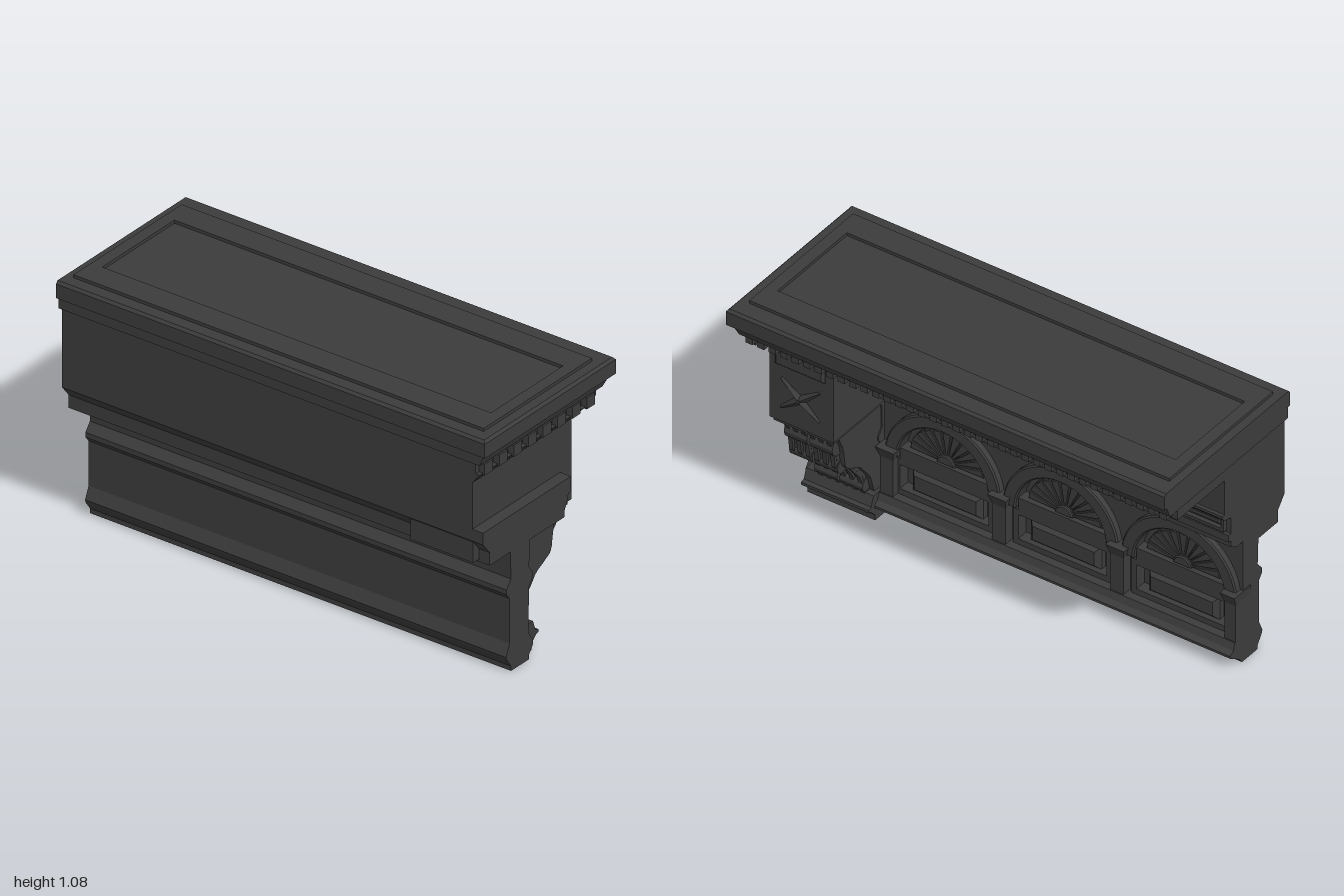
import * as THREE from 'three';

const stone = new THREE.MeshStandardMaterial({ color: 0x3c3c3c, flatShading: true });

export function createModel() {
  const model = new THREE.Group();

  const add = (name, geo) => {
    const m = new THREE.Mesh(geo, stone);
    m.name = name;
    model.add(m);
    return m;
  };
  // box from its min and max limits
  const box = (name, x0, x1, y0, y1, z0, z1) =>
    add(name, new THREE.BoxGeometry(x1 - x0, y1 - y0, z1 - z0)
      .translate((x0 + x1) / 2, (y0 + y1) / 2, (z0 + z1) / 2));
  // box whose top has a different size: limits are [x0, x1, z0, z1]
  const frustum = (name, lo, hi, y0, y1) => {
    const g = new THREE.BoxGeometry(1, 1, 1), p = g.attributes.position;
    for (let i = 0; i < p.count; i++) {
      const top = p.getY(i) > 0, r = top ? hi : lo;
      p.setXYZ(i, p.getX(i) < 0 ? r[0] : r[1], top ? y1 : y0, p.getZ(i) < 0 ? r[2] : r[3]);
    }
    return add(name, g);
  };
  const toShape = pts => new THREE.Shape(pts.map(p => new THREE.Vector2(p[0], p[1])));
  // xy profile run along z
  const run = (name, pts, z0, z1) =>
    add(name, new THREE.ExtrudeGeometry(toShape(pts), { depth: z1 - z0, bevelEnabled: false })
      .translate(0, 0, z0));
  // relief drawn in (-z, y), raised from x0 to x1 toward +x
  const relief = (name, shape, x0, x1, bevel = 0) =>
    add(name, new THREE.ExtrudeGeometry(shape, {
      depth: x1 - x0 - bevel, bevelEnabled: bevel > 0, bevelSize: bevel, bevelOffset: -bevel,
      bevelThickness: bevel, bevelSegments: 1, curveSegments: 20,
    }).rotateY(Math.PI / 2).translate(x0, 0, 0));
  const rect = (a, b, c, d) => toShape([[a, c], [b, c], [b, d], [a, d]]);
  const frame = (z0, z1, y0, y1, t) => {
    const s = rect(-z1, -z0, y0, y1);
    s.holes.push(rect(-z1 + t, -z0 - t, y0 + t, y1 - t));
    return s;
  };

  // Shelf top with raised border and sunken centre
  box('shelfSlab', -0.4, 0.4, 1.0, 1.06, -0.985, 1);
  frustum('shelfEdge', [-0.4, 0.4, -0.985, 1], [-0.39, 0.39, -0.985, 0.99], 1.06, 1.071);
  frustum('shelfUnderMoulding', [-0.385, 0.365, -0.985, 0.965], [-0.385, 0.385, -0.985, 0.985], 0.95, 1.0);
  const border = rect(-0.34, 0.32, -0.95, 0.95);
  border.holes.push(rect(-0.23, 0.21, -0.9, 0.9));
  add('topBorder', new THREE.ExtrudeGeometry(border, { depth: 0.014, bevelEnabled: false })
    .rotateX(-Math.PI / 2).translate(0, 1.07, 0));
  box('soffit', -0.37, 0.31, 0.9, 0.95, -0.98, 0.935);

  // Dentils along the long face and around the end
  for (let i = 0; i < 37; i++) {
    const z = 0.93 - i * 0.052;
    box('sideDentil', 0.3, 0.35, 0.912, 0.95, z - 0.016, z + 0.016);
  }
  for (let i = 0; i < 8; i++) {
    const x = -0.325 + i * 0.089;
    box('endDentil', x - 0.025, x + 0.025, 0.892, 0.94, 0.92, 0.962);
  }
  frustum('pierCap', [-0.37, 0.235, 0.63, 0.92], [-0.37, 0.28, 0.615, 0.955], 0.857, 0.9);

  // Main body, its back profile running the full length
  run('frieze', [[-0.37, 0.92], [-0.37, 0.61], [-0.33, 0.56], [-0.33, 0.505], [-0.12, 0.505], [-0.12, 0.55],
    [-0.03, 0.58], [-0.03, 0.72], [0.01, 0.74], [0.01, 0.92]], -0.98, 0.9);
  run('endShelf', [[-0.37, 0.66], [-0.37, 0.61], [-0.33, 0.56], [-0.33, 0.505], [0.125, 0.505], [0.125, 0.53],
    [0.145, 0.57], [0.15, 0.595], [0.165, 0.6], [0.165, 0.66]], 0.9, 0.97);

  // Thin wall with bulging foot, and the deeper pilaster at its end
  const wallBack = [[-0.205, 0.52], [-0.2, 0.39], [-0.228, 0.355], [-0.228, 0.335], [-0.208, 0.31],
    [-0.208, 0.12], [-0.23, 0.07], [-0.225, 0.055], [-0.2, 0.02], [-0.2, 0]];
  run('wall', [...wallBack, [-0.1, 0], [-0.085, 0.02], [-0.05, 0.045], [-0.025, 0.06], [-0.025, 0.07],
    [-0.045, 0.085], [-0.055, 0.115], [-0.14, 0.115], [-0.14, 0.52]], -0.98, 0.64);
  run('endPilaster', [...wallBack, [-0.09, 0], [-0.09, 0.02], [-0.065, 0.055], [-0.065, 0.07], [-0.095, 0.115],
    [-0.09, 0.31], [-0.065, 0.34], [-0.065, 0.355], [-0.09, 0.39], [-0.085, 0.52]], 0.64, 0.97);
  run('consoleFoot', [[-0.12, 0], [-0.03, 0], [-0.03, 0.025], [0, 0.055], [0.012, 0.058], [0.012, 0.07],
    [-0.005, 0.075], [-0.02, 0.118], [-0.12, 0.118]], 0.63, 0.935);

  // Frieze mouldings and long panels
  run('upperLedge', [[-0.03, 0.705], [0.01, 0.715], [0.025, 0.73], [0.025, 0.742], [-0.03, 0.742]], -0.98, 0.64);
  run('middleLedge', [[-0.04, 0.6], [-0.015, 0.6], [-0.015, 0.632], [-0.04, 0.632]], -0.98, 0.64);
  run('lowerLedge', [[-0.12, 0.55], [-0.07, 0.55], [-0.03, 0.57], [-0.03, 0.585], [-0.12, 0.585]], -0.98, 0.64);
  for (const [a, b] of [[-0.12, 0.59], [-0.96, -0.23]]) {
    relief('friezePanelFrame', frame(a, b, 0.64, 0.706, 0.013), -0.04, -0.012);
    relief('friezePanel', rect(-b + 0.025, -a - 0.025, 0.66, 0.687), -0.04, -0.02, 0.006);
  }
  // Brackets under the soffit
  for (const z of [0.235, -0.175, -0.585]) {
    run('bracket', [[0, 0.75], [0.05, 0.75], [0.07, 0.765], [0.075, 0.8], [0.1, 0.835], [0.15, 0.85],
      [0.175, 0.87], [0.175, 0.9], [0, 0.9]], z - 0.035, z + 0.035);
    box('bracketCap', 0, 0.19, 0.885, 0.905, z - 0.05, z + 0.05);
  }

  // Arcade: three fan arches above recessed panels
  const arches = [0.36, -0.175, -0.71];
  const arcShape = z => {
    const s = new THREE.Path();
    s.absarc(-z, 0.285, 0.21, 0, Math.PI, false);
    s.lineTo(-z - 0.21, 0.115);
    s.lineTo(-z + 0.21, 0.115);
    return s;
  };
  const spandrel = rect(-0.64, 0.98, 0.11, 0.56);
  for (const z of arches) spandrel.holes.push(arcShape(z));
  relief('spandrel', spandrel, -0.15, -0.105);
  for (const z of arches) {
    const ring = new THREE.Shape();
    ring.absarc(-z, 0.285, 0.262, 0, Math.PI, false);
    ring.absarc(-z, 0.285, 0.205, Math.PI, 0, true);
    relief('archRing', ring, -0.14, -0.075, 0.006);
    // fan of widening wedges around a hub
    const n = 11;
    for (let i = 0; i < n; i++) {
      const a = (i + 0.5) * Math.PI / n, h = Math.PI / n * 0.43;
      const pt = (r, t) => [-z + r * Math.cos(t), 0.33 + 0.84 * r * Math.sin(t)];
      relief('fanRib', toShape([pt(0.035, a - h), pt(0.166, a - h), pt(0.166, a + h), pt(0.035, a + h)]),
        -0.15, -0.105, 0.003);
    }
    const hub = new THREE.Shape();
    hub.absarc(-z, 0.33, 0.04, 0, Math.PI, false);
    relief('fanHub', hub, -0.15, -0.095, 0.005);
    box('fanSill', -0.15, -0.09, 0.268, 0.328, z - 0.2, z + 0.2);
    relief('panelFrame', frame(z - 0.225, z + 0.225, 0.115, 0.275, 0.025), -0.15, -0.09);
    relief('raisedPanel', rect(-z - 0.16, -z + 0.16, 0.138, 0.24), -0.15, -0.095, 0.02);
  }
  // Piers between the arches
  for (const [a, b] of [[0.57, 0.63], [0.0625, 0.1225], [-0.4725, -0.4125], [-0.98, -0.93]]) {
    box('arcadePier', -0.15, -0.06, 0.11, 0.3, a, b);
    frustum('pierImpost', [-0.15, -0.06, a, b], [-0.15, -0.045, Math.max(a - 0.012, -0.985), b + 0.012], 0.28, 0.325);
  }

  // End pier with panel and crossed ornament
  box('endPier', -0.365, 0.235, 0.515, 0.86, 0.63, 0.92);
  box('endPierBack', -0.37, -0.3, 0.66, 0.9, 0.9, 0.92);
  relief('endPierPanel', rect(-0.89, -0.665, 0.775, 0.85), 0.22, 0.25, 0.01);
  for (const s of [-1, 1]) {
    for (const d of [-1, 1]) {
      const r = d > 0 ? [0.006, 0.018] : [0.018, 0.006];
      const bar = add('crossBar', new THREE.CylinderGeometry(...r, 0.105, 4));
      bar.position.set(0.238, 0.652 + d * 0.035, 0.777 + s * d * 0.045);
      bar.rotation.x = s * 0.91;
    }
  }

  // Scrolled consoles carrying the end pier
  const curve = new THREE.SplineCurve([[0.215, 0.515], [0.2, 0.47], [0.185, 0.44], [0.175, 0.39], [0.16, 0.33],
    [0.08, 0.285], [0.05, 0.25], [0.01, 0.2], [-0.005, 0.15], [-0.02, 0.11]].map(p => new THREE.Vector2(...p)));
  const face = curve.getPoints(22).map(p => [p.x, p.y]);
  const profile = d => [[-0.1, 0.11], [-0.1, 0.52], ...face.map(([x, y]) => [x - d, y])];
  run('consoleCore', profile(0.03), 0.645, 0.9);
  for (const z of [0.715, 0.83]) {
    run('consoleBody', profile(0.012), z - 0.048, z + 0.048);
    for (const o of [-0.038, 0, 0.038]) run('consoleRib', profile(0), z + o - 0.009, z + o + 0.009);
    for (const [x, y, r] of [[0.155, 0.44, 0.042], [0.13, 0.335, 0.033], [-0.025, 0.155, 0.03]])
      add('scroll', new THREE.CylinderGeometry(r, r, 0.104, 12).rotateX(Math.PI / 2).translate(x, y, z));
  }
  box('consoleCap', -0.1, 0.222, 0.495, 0.52, 0.64, 0.91);
  return model;
}
